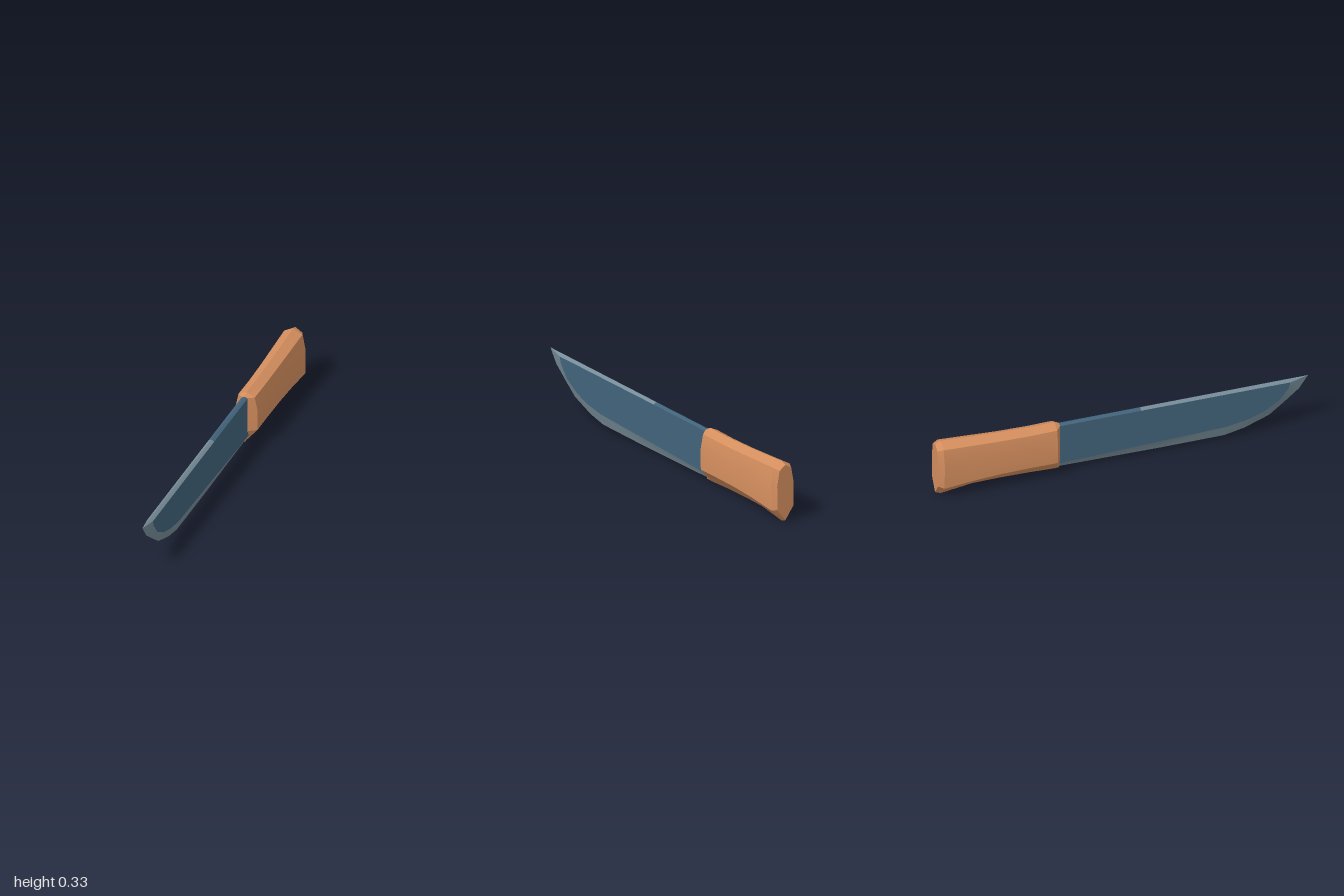
import * as THREE from 'three';
import { toCreasedNormals } from 'three/addons/utils/BufferGeometryUtils.js';

const wood = new THREE.MeshStandardMaterial({ color: 0xd48e5e });
wood.name = 'warm wood';
const steel = new THREE.MeshStandardMaterial({ color: 0x42637b });
steel.name = 'blue steel';
const edge = new THREE.MeshStandardMaterial({ color: 0x768c97 });
edge.name = 'ground edge grey';

// Mesh from triangles, each a list of three [x, y, z] corners
function meshFrom(name, tris, material, crease = 0.35) {
  const geo = new THREE.BufferGeometry();
  geo.setAttribute('position', new THREE.Float32BufferAttribute(tris.flat(2), 3));
  const mesh = new THREE.Mesh(toCreasedNormals(geo, crease), material);
  mesh.name = name;
  return mesh;
}

const quad = (a, b, c, d) => [[a, b, c], [a, c, d]];

// Adds the mirror image across x = 0, with the corner order turned round
const mirrored = (tris) => tris.concat(
  tris.map((t) => t.map(([x, y, z]) => [-x, y, z]).reverse()));

// Handle: eight-sided sections lofted from the blade end to the pommel
function handle() {
  // z, top y, shoulder x y, side x y, lower x y, bottom y
  const sections = [
    [-0.335, 0.298, 0.014, 0.292, 0.018, 0.21, 0.018, 0.092, 0.022],
    [-0.36, 0.311, 0.045, 0.288, 0.061, 0.21, 0.06, 0.095, 0.02],
    [-0.5, 0.31, 0.045, 0.286, 0.061, 0.212, 0.06, 0.096, 0.026],
    [-0.66, 0.315, 0.046, 0.29, 0.063, 0.214, 0.062, 0.096, 0.029],
    [-0.8, 0.322, 0.048, 0.297, 0.065, 0.217, 0.064, 0.09, 0.027],
    [-0.97, 0.333, 0.05, 0.306, 0.068, 0.22, 0.066, 0.075, 0.003],
    [-1, 0.322, 0.037, 0.297, 0.052, 0.215, 0.05, 0.085, 0.016],
  ];
  const rings = sections.map(([z, top, sx, sy, mx, my, lx, ly, bottom]) => [
    [0, top, z], [sx, sy, z], [mx, my, z], [lx, ly, z],
    [0, bottom, z], [-lx, ly, z], [-mx, my, z], [-sx, sy, z],
  ]);
  const tris = [];
  for (let i = 0; i < rings.length - 1; i++) {
    const a = rings[i], b = rings[i + 1];
    for (let j = 0; j < 8; j++) {
      const k = (j + 1) % 8;
      tris.push(...quad(a[j], a[k], b[k], b[j]));
    }
  }
  // End caps
  const front = rings[0], back = rings[rings.length - 1];
  for (let j = 1; j < 7; j++) {
    tris.push([front[0], front[j + 1], front[j]]);
    tris.push([back[0], back[j], back[j + 1]]);
  }
  return meshFrom('handle', tris, wood);
}

// Blade: flat cheeks with a bevel sloping to the sharp outline
function blade() {
  const half = 0.016;
  // Outline and cheek border as [z, y], from the heel round the tip and back
  const outline = [
    [-0.37, 0.03], [0.2, 0.022], [0.55, 0.022], [0.66, 0.045], [0.79, 0.095],
    [0.87, 0.158], [0.95, 0.225], [1, 0.298], [0.1, 0.298], [-0.37, 0.296],
  ].map(([z, y]) => [0, y, z]);
  const border = [
    [-0.37, 0.057], [0.2, 0.073], [0.55, 0.083], [0.66, 0.1], [0.75, 0.13],
    [0.84, 0.185], [0.89, 0.25], [0.9, 0.285], [0.1, 0.2885], [-0.37, 0.29],
  ].map(([z, y]) => [half, y, z]);

  const bevel = [], spine = [], cheek = [];
  for (let i = 0; i < outline.length - 1; i++) {
    const strip = i === outline.length - 2 ? spine : bevel;
    strip.push(...quad(outline[i], border[i], border[i + 1], outline[i + 1]));
    if (i > 0) cheek.push([border[0], border[i + 1], border[i]]);
  }

  const group = new THREE.Group();
  group.name = 'blade';
  group.add(
    meshFrom('bladeCheeks', mirrored(cheek), steel),
    meshFrom('rearSpine', mirrored(spine), steel),
    meshFrom('cuttingBevel', mirrored(bevel), edge),
  );
  return group;
}

export function createModel() {
  const model = new THREE.Group();
  model.name = 'knife';
  model.add(handle(), blade());
  return model;
}
